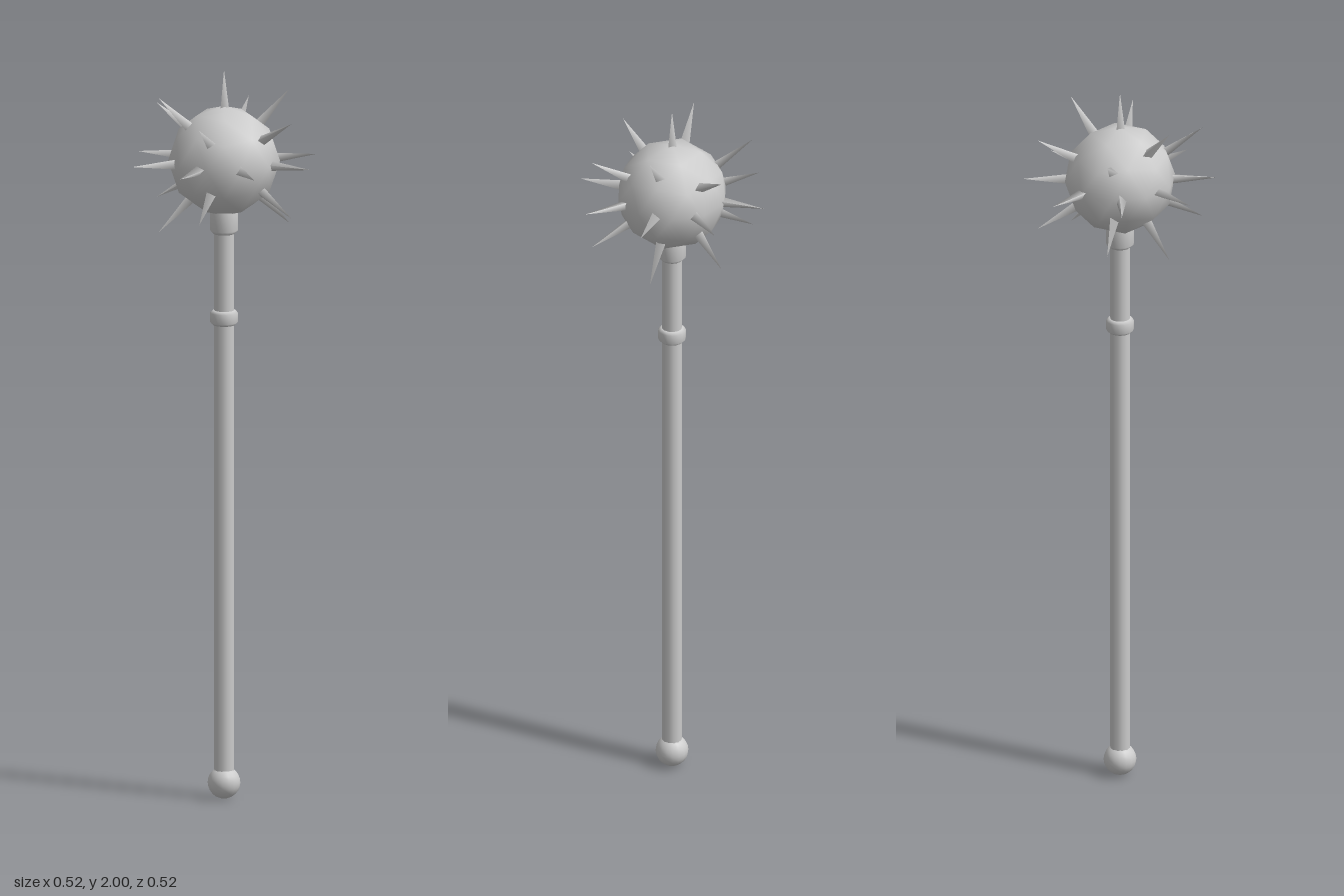
import * as THREE from 'three';

const HEAD_Y = 1.75;
const material = new THREE.MeshStandardMaterial({ color: 0xcccccc });

export function createModel() {
  const model = new THREE.Group();
  model.name = 'spikedMace';

  const add = (name, geometry, y = 0, parent = model) => {
    const mesh = new THREE.Mesh(geometry, material);
    mesh.name = name;
    mesh.position.y = y;
    parent.add(mesh);
    return mesh;
  };
  const rod = (name, radius, bottom, top, sides) =>
    add(name, new THREE.CylinderGeometry(radius, radius, top - bottom, sides), (bottom + top) / 2);
  // Closed band with small bevels at both ends
  const band = (name, radius, inner, bottom, top, bevel) => {
    const profile = [
      [inner, bottom], [radius - bevel, bottom], [radius, bottom + bevel],
      [radius, top - bevel], [radius - bevel, top], [inner, top],
    ].map(([x, y]) => new THREE.Vector2(x, y));
    add(name, new THREE.LatheGeometry(profile, 16));
  };

  // Handle, from the pommel up to the head
  add('pommel', new THREE.SphereGeometry(0.044, 16, 12), 0.044);
  rod('grip', 0.027, 0.06, 1.32, 12);
  rod('neck', 0.027, 1.32, 1.58, 12);
  band('gripRing', 0.037, 0.02, 1.3, 1.34, 0.007);
  band('headCollar', 0.038, 0.02, 1.55, 1.63, 0.01);

  // Faceted ball, turned so that one corner points straight up
  const head = new THREE.Group();
  head.name = 'head';
  head.position.y = HEAD_Y;
  model.add(head);
  const ball = new THREE.IcosahedronGeometry(0.15, 1);
  ball.rotateZ(Math.atan(2 / (1 + Math.sqrt(5))));
  add('ball', ball, 0, head);

  // Three-sided spikes: top, ring around the middle, and slanted ones
  const directions = [[0, 1, 0]];
  for (let i = 0; i < 8; i++) {
    const a = (i * Math.PI) / 4;
    directions.push([Math.cos(a), 0, Math.sin(a)]);
  }
  for (const x of [-1, 1]) {
    for (const y of [-1, 1]) {
      directions.push([x, y, 0]);
      for (const z of [-1, 1]) directions.push([x, y, z * Math.SQRT2]);
    }
  }
  const spike = new THREE.ConeGeometry(0.018, 0.14, 3);
  spike.rotateY(Math.PI);
  spike.translate(0, 0.19, 0);
  const up = new THREE.Vector3(0, 1, 0);
  for (const d of directions) {
    const direction = new THREE.Vector3(...d).normalize();
    const mesh = add('spike', spike, 0, head);
    mesh.quaternion.setFromUnitVectors(up, direction);
    // The top spike is a little shorter
    if (direction.y > 0.99) mesh.position.y = -0.01;
  }

  return model;
}
